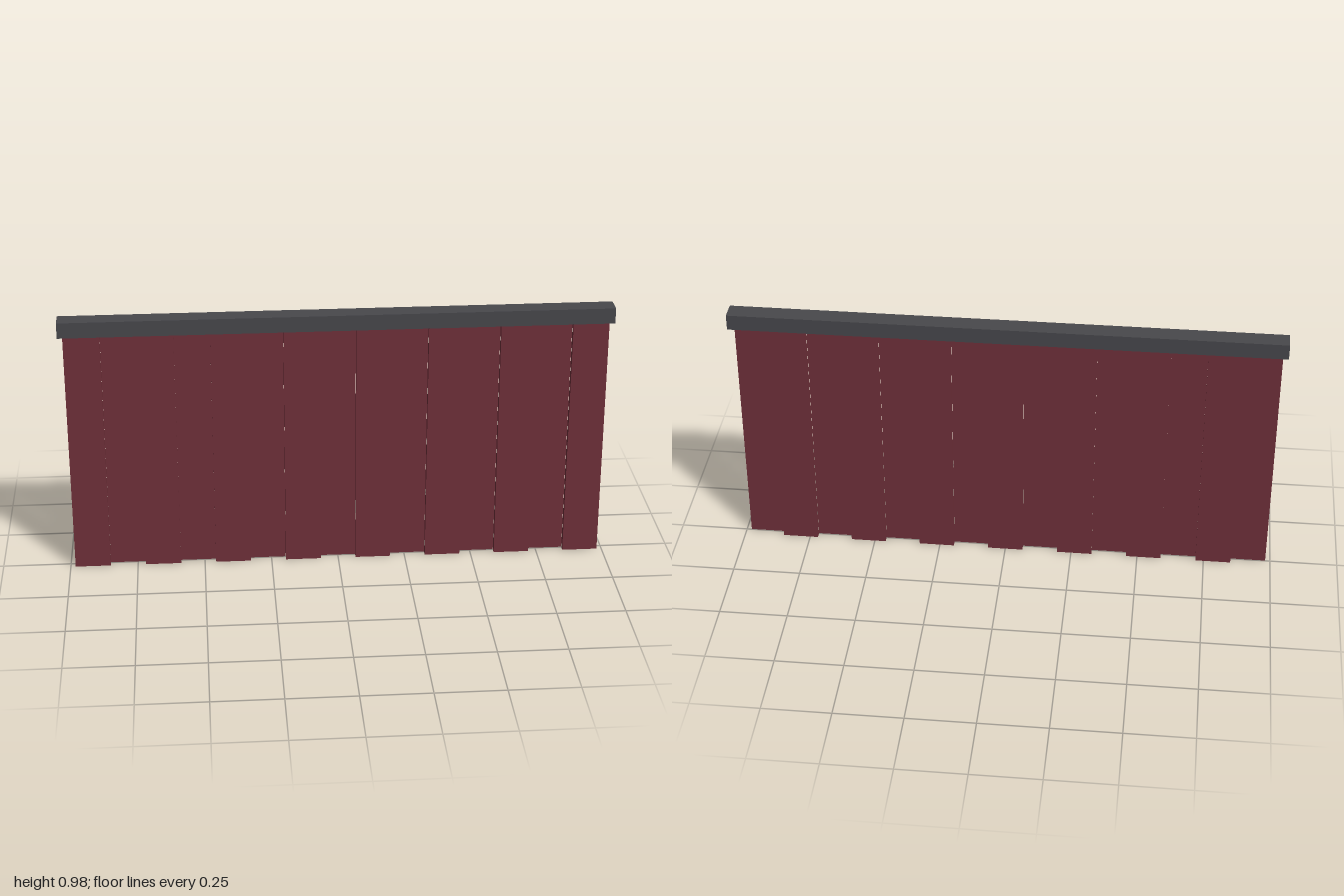
import * as THREE from 'three';

export function createModel() {
  const group = new THREE.Group();
  const boardMaterial = new THREE.MeshStandardMaterial({ color: 0x70303a });
  const railMaterial = new THREE.MeshStandardMaterial({ color: 0x48484c });

  // Upright boards, alternating between the front and back layers
  const count = 15, span = 1.964, height = 0.923, thickness = 0.0215;
  const width = span / count;
  const boardGeometry = new THREE.BoxGeometry(width, height, thickness);
  const boards = new THREE.Group();
  boards.name = 'boards';
  for (let i = 0; i < count; i++) {
    const inFront = i % 2 === 0;
    const board = new THREE.Mesh(boardGeometry, boardMaterial);
    board.name = inFront ? 'frontBoard' : 'backBoard';
    board.position.set((i + 0.5) * width - span / 2, height / 2, inFront ? 0.0125 : -0.0125);
    boards.add(board);
  }
  group.add(boards);

  // Cap rail along the top
  const rail = new THREE.Mesh(new THREE.BoxGeometry(2, 0.058, 0.07), railMaterial);
  rail.name = 'topRail';
  rail.position.y = height + 0.029;
  group.add(rail);

  return group;
}
